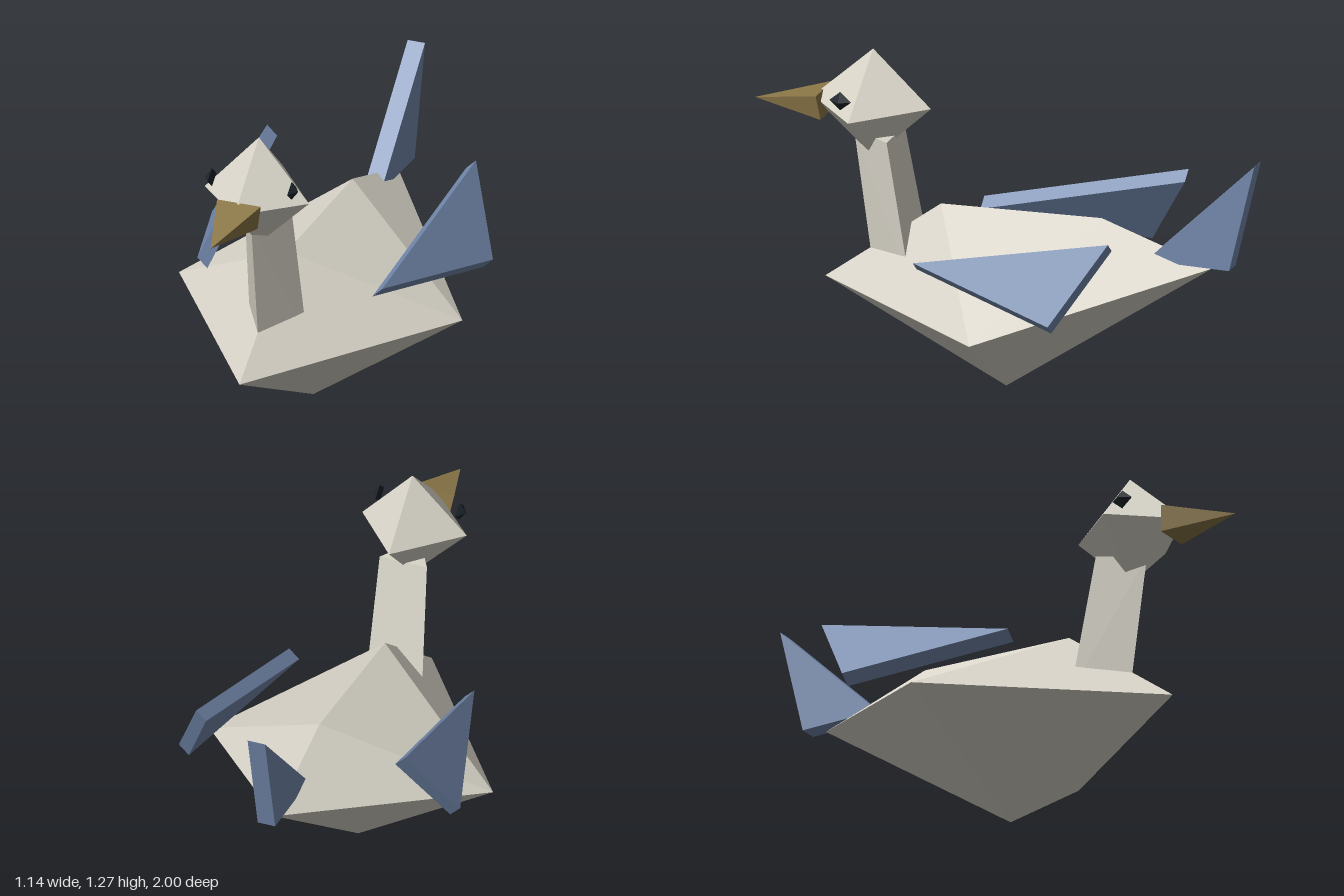
import * as THREE from 'three';
import { ConvexGeometry } from 'three/addons/geometries/ConvexGeometry.js';

const flat = (name, color) => {
  const m = new THREE.MeshStandardMaterial({ color });
  m.name = name;
  return m;
};

export function createModel() {
  const cream = flat('cream plumage', 0xd8d4c8);
  const blue = flat('blue feathers', 0x7389ad);
  const brown = flat('brown beak', 0x8c7848);
  const black = flat('dark eye', 0x1b2329);

  const bird = new THREE.Group();
  bird.name = 'bird';

  // Every part is a small faceted solid spanned by its corners
  const part = (name, material, corners) => {
    const pts = corners.map((c) => new THREE.Vector3(...c));
    const mesh = new THREE.Mesh(new ConvexGeometry(pts), material);
    mesh.name = name;
    bird.add(mesh);
  };
  // Corner and its mirror image
  const pair = (x, y, z) => [[x, y, z], [-x, y, z]];

  // Body: boat-shaped octahedron with a ridge along the back
  part('body', cream, [
    [0, 0, 0], [0, 0.34, 0.72], [0, 0.69, 0.26], [0, 0.72, -0.38], [0, 0.58, -0.82],
    ...pair(0.57, 0.37, -0.07),
  ]);

  // Neck: tapered triangular prism, edge forward
  part('neck', cream, [
    [0, 0.4, 0.53], ...pair(0.114, 0.4, 0.34),
    [0, 0.94, 0.606], ...pair(0.095, 0.94, 0.44),
  ]);

  // Head: octahedron
  part('head', cream, [
    [0, 1.27, 0.53], [0, 0.84, 0.53], [0, 1.05, 0.77], [0, 1.06, 0.3],
    ...pair(0.21, 1.043, 0.55),
  ]);

  // Beak: four-sided pyramid
  part('beak', brown, [
    [0, 1.012, 1], ...pair(0.088, 1.083, 0.725), ...pair(0.07, 0.985, 0.713),
  ]);

  // Tail: upright triangular slab
  part('tail', blue, [
    ...pair(0.035, 0.59, -0.57), ...pair(0.035, 1.02, -1), ...pair(0.035, 0.593, -0.9),
  ]);

  for (const [side, s] of [['left', 1], ['right', -1]]) {
    // Wing: triangular slab leaning outward
    const outer = [[0.372, 0.59, 0.23], [0.565, 0.488, -0.38], [0.42, 0.79, -0.565]];
    const inner = outer.map(([x, y, z]) => [x - 0.04, y - 0.038, z]);
    part(side + 'Wing', blue, [...outer, ...inner].map(([x, y, z]) => [s * x, y, z]));

    // Eye: shallow diamond pyramid
    part(side + 'Eye', black, [
      [s * 0.187, 1.108, 0.6],
      [s * 0.16, 1.145, 0.6], [s * 0.16, 1.072, 0.6],
      [s * 0.16, 1.108, 0.643], [s * 0.16, 1.108, 0.557],
    ]);
  }
  return bird;
}
